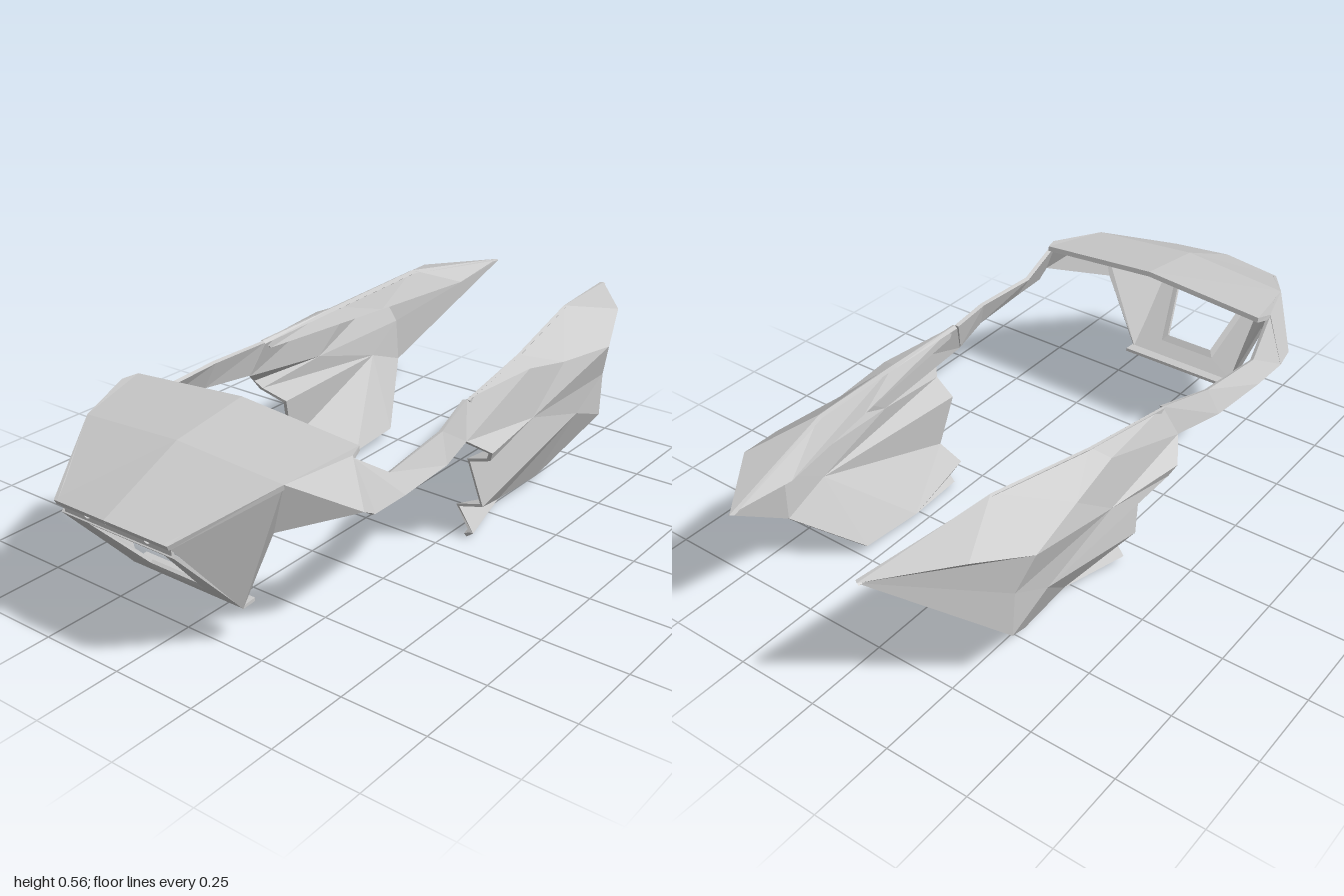
import * as THREE from 'three';

const grey = new THREE.MeshStandardMaterial({ color: 0xcacaca, flatShading: true, side: THREE.DoubleSide });
grey.name = 'plain grey';

// Folded sheet: named corners + faces, thickened inwards and closed along its open edges.
function sheet(name, corners, faces, side = 1, thick = 0.012) {
  const outer = {}, normals = {}, inner = {};
  for (const k in corners) {
    const [x, y, z] = corners[k];
    outer[k] = new THREE.Vector3(x * side, y, z);
    normals[k] = new THREE.Vector3();
  }
  const tris = [];
  for (const f of faces) {
    const loop = f.split(' ');
    if (side < 0) loop.reverse();
    for (let i = 1; i < loop.length - 1; i++) tris.push([loop[0], loop[i], loop[i + 1]]);
  }
  const edges = new Set();
  for (const [a, b, c] of tris) {
    const n = new THREE.Vector3().subVectors(outer[b], outer[a])
      .cross(new THREE.Vector3().subVectors(outer[c], outer[a])).normalize();
    [a, b, c].forEach(k => normals[k].add(n));
    [[a, b], [b, c], [c, a]].forEach(([p, q]) => edges.add(p + ' ' + q));
  }
  for (const k in outer) inner[k] = outer[k].clone().addScaledVector(normals[k].normalize(), -thick);
  const pos = [];
  const put = (...vs) => vs.forEach(v => pos.push(v.x, v.y, v.z));
  for (const [a, b, c] of tris) {
    put(outer[a], outer[b], outer[c]);
    put(inner[c], inner[b], inner[a]);
  }
  for (const e of edges) {
    const [p, q] = e.split(' ');
    if (edges.has(q + ' ' + p)) continue;
    put(outer[q], outer[p], inner[p], outer[q], inner[p], inner[q]);
  }
  const geo = new THREE.BufferGeometry();
  geo.setAttribute('position', new THREE.Float32BufferAttribute(pos, 3));
  geo.computeVertexNormals();
  const mesh = new THREE.Mesh(geo, grey);
  mesh.name = name;
  return mesh;
}

// Front cowl: half of the hood
const hood = {
  bc: [0, 0.565, 0.515], mc: [0, 0.53, 0.75], fc: [0, 0.417, 1],
  bs: [0.375, 0.535, 0.515], ms: [0.33, 0.506, 0.74], fs: [0.19, 0.405, 0.985], up: [0.39, 0.53, 0.56],
};
const hoodFaces = ['fc fs ms mc', 'mc ms bs bc', 'ms up bs'];

// Cheek beside the lamp frame, wrapping out to the arm
const cheek = {
  ms: hood.ms, fs: hood.fs, low: [0.19, 0.123, 0.745], back: [0.29, 0.365, 0.735],
  out: [0.447, 0.41, 0.59], tip: [0.447, 0.387, 0.545], up: hood.up,
};
const cheekFaces = ['ms fs low', 'ms low back', 'ms back out', 'ms out up', 'out tip up'];

// Arm joining the cowl to the tail panel
const arm = {
  t0: [0.39, 0.525, 0.56], t1: [0.41, 0.445, 0.44], t2: [0.4, 0.465, 0.2], t3: [0.36, 0.485, 0.03],
  b0: [0.447, 0.387, 0.55], b1: [0.444, 0.385, 0.42], b2: [0.43, 0.385, 0.22], b3: [0.39, 0.385, 0.07],
};
const armFaces = ['t0 b0 b1 t1', 't1 b1 b2 t2', 't2 b2 b3 t3'];

// Tail panel: K ridge, A-G front rim, V/U/X/S outer flank, P/Q/R fold, H/N/M lower edge
const tail = {
  K0: [0.36, 0.485, 0.03], K1: [0.33, 0.513, -0.27], K2: [0.28, 0.553, -0.61], T: [0.205, 0.508, -1],
  A: [0.39, 0.385, 0.07], B: [0.432, 0.337, 0.005], L: [0.415, 0.303, -0.012], C: [0.338, 0.272, -0.03],
  D: [0.357, 0.118, -0.075], E: [0.275, 0.093, -0.08], F: [0.325, 0.02, -0.08], G: [0.3, 0, -0.085],
  V: [0.385, 0.49, -0.25], U: [0.398, 0.46, -0.42], X: [0.43, 0.45, -0.63], S: [0.365, 0.507, -0.8],
  P: [0.397, 0.34, -0.26], Q: [0.39, 0.257, -0.53], R: [0.395, 0.34, -0.67],
  H: [0.272, 0.027, -0.295], N: [0.285, 0.032, -0.49], M: [0.39, 0.203, -0.675],
};
const upperFaces = ['K0 A V', 'A P V', 'A B P', 'K0 V K1', 'K1 V U', 'K1 U K2', 'K2 U X', 'K2 X S',
  'V P U', 'P X U', 'P R X', 'K2 S T', 'S X T', 'X R T', 'R M T'];
const lowerFaces = ['B L P', 'L Q P', 'L C Q', 'P Q R', 'Q M R', 'C D Q', 'D H Q', 'Q H N', 'Q N M',
  'D E H', 'E F H', 'F G H'];

// Lip turned down along the inside of the tail ridge
const lip = {
  K0: tail.K0, K1: tail.K1, K2: tail.K2, T: tail.T,
  I0: [0.355, 0.455, 0], I1: [0.28, 0.465, -0.45], I2: [0.21, 0.48, -0.79],
};
const lipFaces = ['K0 K1 I1 I0', 'K1 K2 I2 I1', 'K2 T I2'];

// Lamp frame: sloped face around a tapered opening, with a shallow bezel
const slope = (y, back = 0) => 0.745 + (y - 0.125) * 0.92 - back;
function lampFrame() {
  const c = {};
  const ring = (key, xt, yt, xb, yb, back) => {
    [[-xb, yb], [xb, yb], [xt, yt], [-xt, yt]].forEach(([x, y], i) => { c[key + i] = [x, y, slope(y, back)]; });
  };
  ring('o', 0.19, 0.365, 0.19, 0.123, 0);
  ring('w', 0.155, 0.36, 0.095, 0.16, 0);
  ring('n', 0.132, 0.348, 0.08, 0.18, 0.006);
  c.l0 = [-0.19, 0.125, 0.7];
  c.l1 = [0.19, 0.125, 0.7];
  const faces = ['l0 l1 o1 o0'];
  for (let i = 0; i < 4; i++) {
    const j = (i + 1) % 4;
    faces.push(`o${i} o${j} w${j} w${i}`, `w${i} w${j} n${j} n${i}`);
  }
  return sheet('lampFrame', c, faces, 1, 0.01);
}

// Strip above the opening with two round holes
function lampStrip() {
  const shape = new THREE.Shape([[-0.18, -0.022], [0.18, -0.022], [0.18, 0.018], [0, 0.026], [-0.18, 0.018]]
    .map(p => new THREE.Vector2(...p)));
  for (const x of [-0.101, 0.101]) {
    shape.holes.push(new THREE.Path().absarc(x, 0, 0.0125, 0, Math.PI * 2, true));
  }
  const mesh = new THREE.Mesh(
    new THREE.ExtrudeGeometry(shape, { depth: 0.008, bevelEnabled: false, curveSegments: 12 }), grey);
  mesh.name = 'lampStrip';
  mesh.position.set(0, 0.386, 0.955);
  return mesh;
}

export function createModel() {
  const group = new THREE.Group();
  group.name = 'bodyFairing';
  for (const [side, label] of [[1, 'left'], [-1, 'right']]) {
    group.add(
      sheet(label + 'Hood', hood, hoodFaces, side, 0.015),
      sheet(label + 'Cheek', cheek, cheekFaces, side),
      sheet(label + 'Arm', arm, armFaces, side),
      sheet(label + 'TailPanel', tail, [...upperFaces, ...lowerFaces], side),
      sheet(label + 'TailLip', lip, lipFaces, side, 0.008),
    );
  }
  group.add(lampFrame(), lampStrip());
  return group;
}
